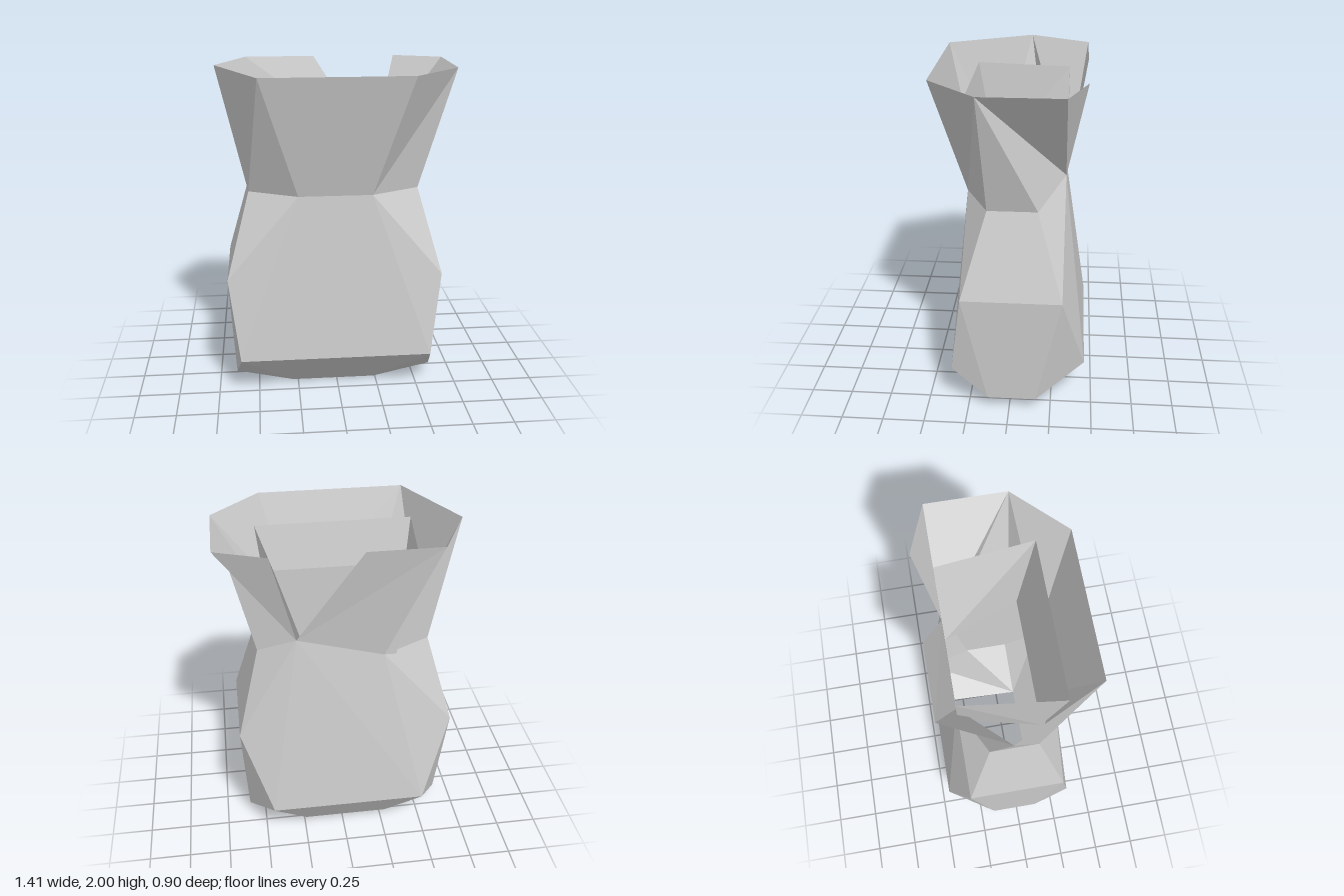
import * as THREE from 'three';

const material = new THREE.MeshStandardMaterial({ color: 0xcccccc, flatShading: true, side: THREE.DoubleSide });

// Collects triangle fans (apex + counter-clockwise rim) into one mesh
function patch(name, build) {
  const pos = [];
  const fan = (apex, rim, flip = false) => {
    for (let i = 0; i < rim.length - 1; i++) {
      const [a, b] = flip ? [rim[i + 1], rim[i]] : [rim[i], rim[i + 1]];
      pos.push(...apex, ...a, ...b);
    }
  };
  build(fan);
  const g = new THREE.BufferGeometry();
  g.setAttribute('position', new THREE.Float32BufferAttribute(pos, 3));
  g.computeVertexNormals();
  const mesh = new THREE.Mesh(g, material);
  mesh.name = name;
  return mesh;
}

// Corner points of one half of the body; s = 1 is +x, s = -1 is -x
function halfPoints(s) {
  const p = (x, y, z) => [-0.02 + s * x, y, z];
  return {
    waistFront: p(0.22, 1.28, 0.27),
    waistSideF: p(0.51, 1.28, 0.13),
    waistSideB: p(0.51, 1.28, -0.16),
    waistBack: s > 0 ? p(0.29, 1.42, -0.31) : p(0.22, 1.28, -0.31),
    bellyF: p(0.65, 0.77, 0.28),
    bellyB: p(0.65, 0.77, -0.31),
    hemFront: p(0.585, 0.26, 0.35),
    hemBack: p(0.47, 0.26, -0.45),
    lowF: p(0.62, 0.08, 0.13),
    lowB: p(0.62, 0.08, -0.16),
    baseF: p(0.26, 0, 0.13),
    baseB: p(0.26, 0.04, -0.31),
  };
}

export function createModel() {
  const group = new THREE.Group();
  group.name = 'openSack';
  const R = halfPoints(1), L = halfPoints(-1);

  // Faceted body, open at the base
  group.add(patch('body', (fan) => {
    for (const [h, flip] of [[R, false], [L, true]]) {
      fan(h.waistFront, [h.hemFront, h.bellyF, h.waistSideF], flip);
      fan(h.waistSideF, [h.bellyF, h.bellyB, h.waistSideB], flip);
      fan(h.waistBack, [h.waistSideB, h.bellyB, h.hemBack], flip);
      fan(h.bellyF, [h.hemFront, h.lowF, h.lowB, h.bellyB], flip);
      fan(h.bellyB, [h.lowB, h.hemBack], flip);
    }
    fan(L.waistFront, [L.hemFront, R.hemFront, R.waistFront]);
    fan(R.waistBack, [R.hemBack, L.hemBack, L.waistBack]);
  }));

  // Tapered underside around the base opening
  group.add(patch('underside', (fan) => {
    for (const [h, flip] of [[R, false], [L, true]]) {
      fan(h.hemFront, [h.baseF, h.lowF], flip);
      fan(h.baseF, [h.baseB, h.hemBack, h.lowB, h.lowF], flip);
    }
    fan(L.hemFront, [L.baseF, R.baseF, R.hemFront]);
    fan(R.hemBack, [R.baseB, L.baseB, L.hemBack]);
  }));

  // Flared collar with a V notch at the back
  const frontL = [-0.46, 2, 0.45], frontR = [0.41, 2, 0.45];
  const sideRF = [0.70, 2, 0.16], sideRB = [0.70, 2, -0.31];
  const notchR = [0.41, 2, -0.42], notchL = [-0.10, 2, -0.42];
  const backL = [-0.53, 2, -0.42], sideL = [-0.71, 2, -0.06];
  group.add(patch('collar', (fan) => {
    fan(frontL, [L.waistSideF, L.waistFront, R.waistFront, frontR]);
    fan(sideRF, [frontR, R.waistFront, R.waistSideF, R.waistSideB, R.waistBack, sideRB]);
    fan(R.waistBack, [notchR, sideRB]);
    fan(backL, [notchL, R.waistBack, L.waistBack]);
    fan(sideL, [backL, L.waistBack, L.waistSideB, L.waistSideF, frontL]);
  }));

  // Four-sided inner sleeve standing inside the collar
  const top = [[-0.49, 1.87, 0.27], [0.45, 1.87, 0.27], [0.38, 1.87, -0.31], [-0.42, 1.87, -0.31]];
  const bottom = [[-0.42, 1.28, 0.16], [0.38, 1.28, 0.16], [0.20, 1.28, -0.31], [-0.31, 1.28, -0.31]];
  group.add(patch('innerSleeve', (fan) => {
    for (let i = 0; i < 4; i++) {
      const j = (i + 1) % 4;
      fan(top[i], [bottom[i], bottom[j], top[j]]);
    }
  }));

  return group;
}
